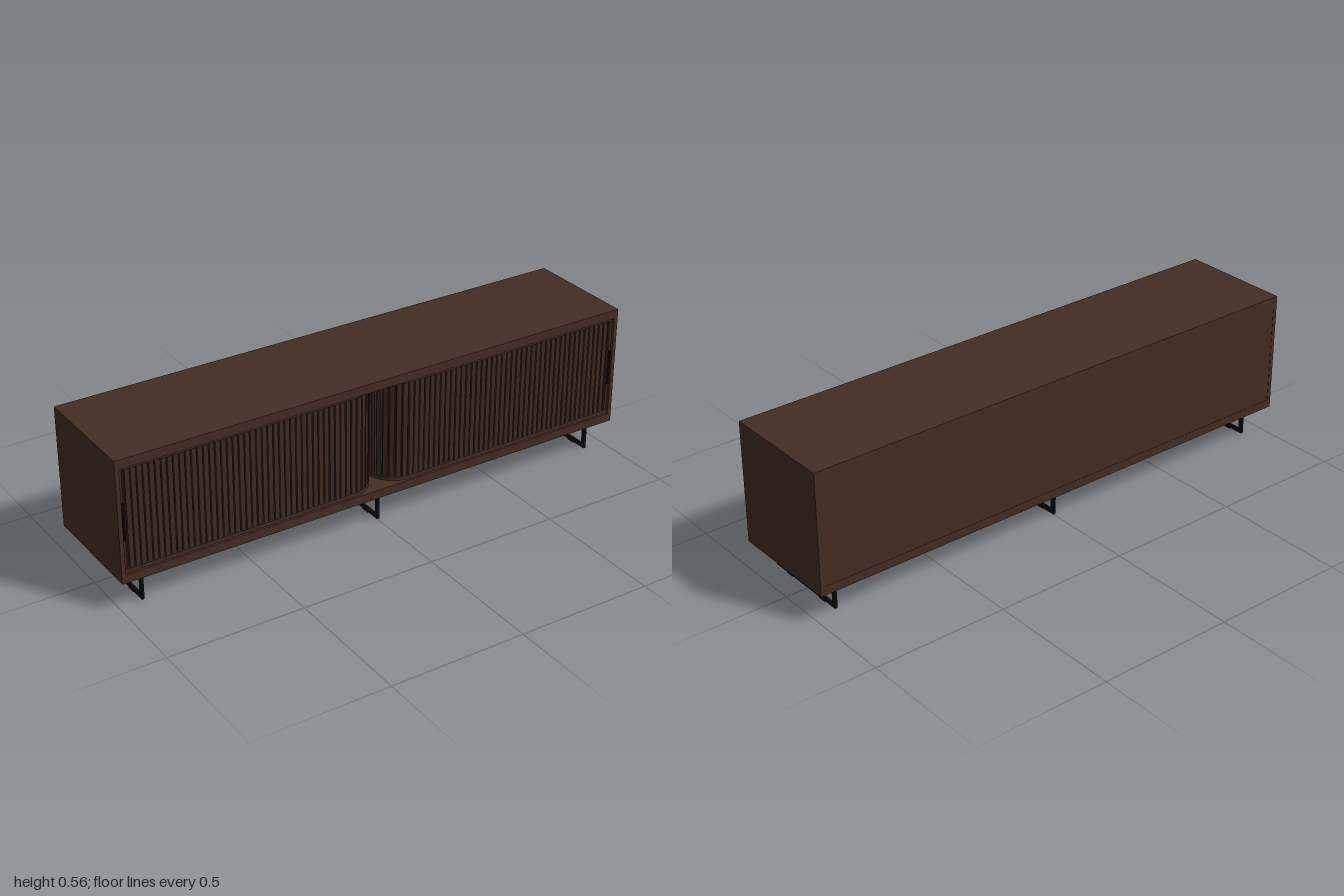
import * as THREE from 'three';

export function createModel() {
  const model = new THREE.Group();
  const mat = (name, color) => {
    const m = new THREE.MeshStandardMaterial({ color });
    m.name = name;
    return m;
  };
  const wood = mat('walnut', 0x432d23);
  const slatWood = mat('slatWalnut', 0x3f2a20);
  const groove = mat('grooveShadowWood', 0x21150f);
  const black = mat('blackMetal', 0x0d0d0e);

  // Box given by its min and max corners
  function box(name, material, x0, x1, y0, y1, z0, z1, parent = model) {
    const mesh = new THREE.Mesh(new THREE.BoxGeometry(x1 - x0, y1 - y0, z1 - z0), material);
    mesh.position.set((x0 + x1) / 2, (y0 + y1) / 2, (z0 + z1) / 2);
    mesh.name = name;
    parent.add(mesh);
    return mesh;
  }

  // Carcass
  const D = 0.213;
  box('topPanel', wood, -1, 1, 0.527, 0.56, -D, D);
  box('bottomPanel', wood, -1, 1, 0.11, 0.142, -D, D);
  box('backPanel', wood, -0.985, 0.985, 0.142, 0.527, -D + 0.001, -0.2);
  for (const s of [-1, 1]) {
    box('sidePanel', wood, s * 0.9925 - 0.0075, s * 0.9925 + 0.0075, 0.142, 0.527, -D, D);
  }

  // Door track: straight along the front, curving inward at the middle
  const R = 0.1, startX = 0.985, bendX = 0.115, frontZ = 0.195;
  const straight = startX - bendX, arc = R * Math.PI / 2;
  const total = straight + arc + 0.285;
  function track(t, offset, s) {
    let x, z, a = 0;
    if (t < straight) {
      x = startX - t;
      z = frontZ;
    } else {
      a = Math.min((t - straight) / R, Math.PI / 2);
      x = bendX - R * Math.sin(a);
      z = frontZ - R + R * Math.cos(a) - Math.max(0, t - straight - arc);
    }
    return { x: s * (x - Math.sin(a) * offset), z: z + Math.cos(a) * offset, turn: -s * a };
  }

  // Strip of constant thickness that follows the track
  function strip(name, material, s, inner, outer, y0, y1, parent) {
    const stops = [0, straight];
    for (let i = 1; i <= 16; i++) stops.push(straight + arc * i / 16);
    stops.push(total);
    const edge = (o) => stops.map((t) => {
      const p = track(t, o, s);
      return new THREE.Vector2(p.x, p.z);
    });
    const shape = new THREE.Shape([...edge(outer), ...edge(inner).reverse()]);
    const geo = new THREE.ExtrudeGeometry(shape, { depth: y1 - y0, bevelEnabled: false });
    geo.rotateX(Math.PI / 2);
    const mesh = new THREE.Mesh(geo, material);
    mesh.position.y = y1;
    mesh.name = name;
    parent.add(mesh);
  }

  // Two mirrored slatted sliding doors
  const pitch = 0.0215;
  for (const s of [-1, 1]) {
    const door = new THREE.Group();
    door.name = s > 0 ? 'leftDoor' : 'rightDoor';
    model.add(door);
    strip('doorBacking', groove, s, -0.006, 0, 0.155, 0.515, door);
    strip('lowerRail', wood, s, -0.006, 0.009, 0.142, 0.154, door);
    strip('upperRail', wood, s, -0.006, 0.009, 0.516, 0.527, door);
    const slatGeo = new THREE.BoxGeometry(pitch - 0.005, 0.36, 0.009);
    for (let t = 0.03; t < total; t += pitch) {
      const p = track(t, 0.0045, s);
      const slat = new THREE.Mesh(slatGeo, slatWood);
      slat.position.set(p.x, 0.335, p.z);
      slat.rotation.y = p.turn;
      slat.name = 'slat';
      door.add(slat);
    }
    // Edge stile and pull
    box('doorStile', slatWood, s * 0.979 - 0.005, s * 0.979 + 0.005, 0.155, 0.515, 0.19, 0.204, door);
    box('doorPull', black, s * 0.978 - 0.003, s * 0.978 + 0.003, 0.265, 0.4, 0.2, 0.211, door);
  }

  // Three sled legs made of a closed bar frame
  for (const x of [-0.914, 0, 0.914]) {
    const leg = new THREE.Group();
    leg.name = 'sledLeg';
    leg.position.x = x;
    model.add(leg);
    const w = 0.005;
    box('upperBar', black, -w, w, 0.09, 0.105, -0.162, 0.18, leg);
    box('lowerBar', black, -w, w, 0.004, 0.018, -0.162, 0.18, leg);
    box('frontPost', black, -w, w, 0.018, 0.09, 0.165, 0.18, leg);
    box('backPost', black, -w, w, 0.018, 0.09, -0.162, -0.147, leg);
    box('mountingPlate', black, -w, w, 0.105, 0.11, -0.102, 0.12, leg);
    box('frontFootPad', black, -w, w, 0, 0.004, 0.087, 0.12, leg);
    box('backFootPad', black, -w, w, 0, 0.004, -0.102, -0.069, leg);
  }
  return model;
}
